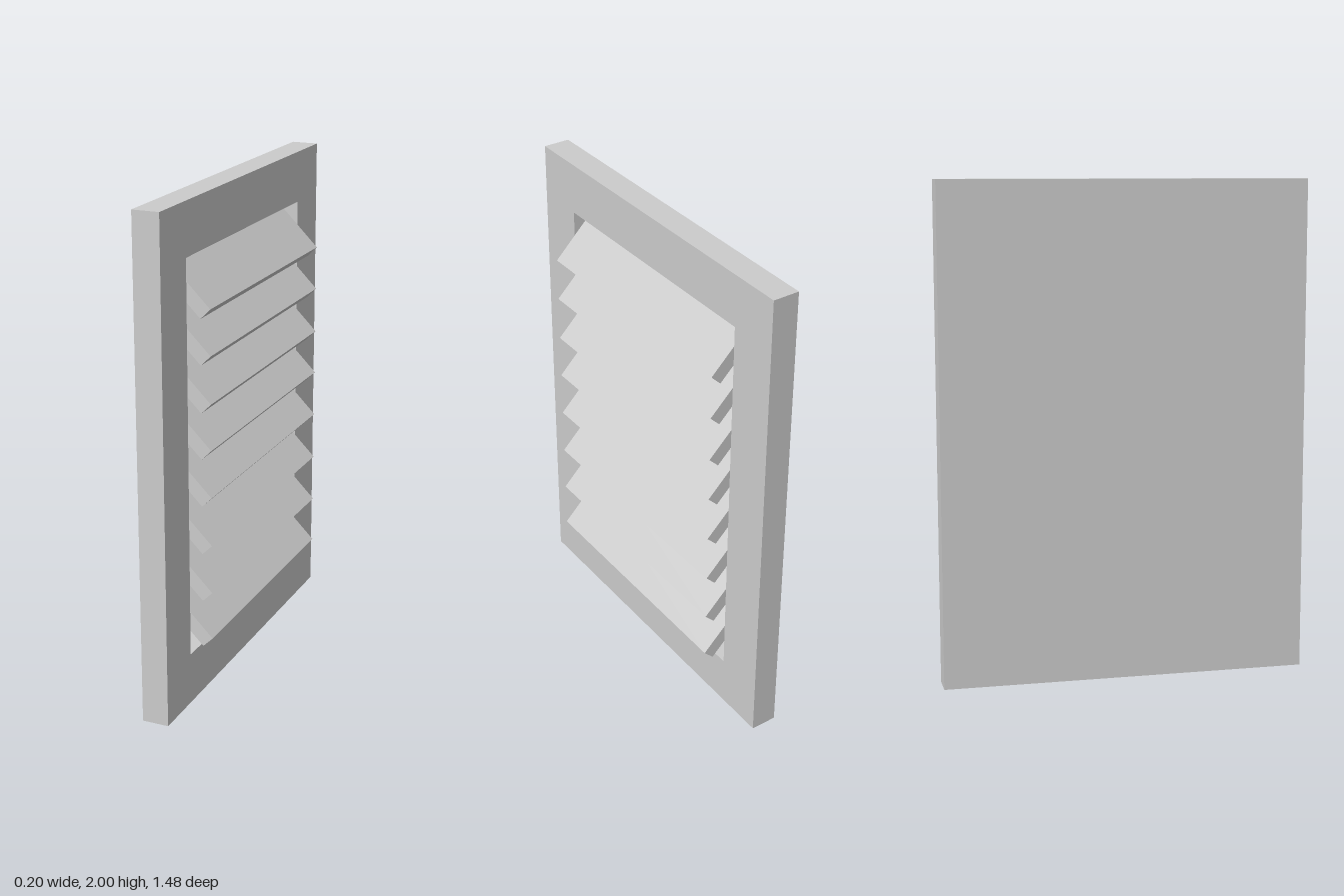
import * as THREE from 'three';

const BACK = -0.1, FLOOR = -0.085, FACE = 0.008; // x of rear, recess floor and frame face
const HALF_WIDTH = 0.74, HEIGHT = 2;

// Shapes are drawn as (-z, y) and extruded towards +x
function extrudeAlongX(shape, x0, x1) {
  const geometry = new THREE.ExtrudeGeometry(shape, { depth: x1 - x0, bevelEnabled: false });
  return geometry.rotateY(Math.PI / 2).translate(x0, 0, 0);
}

function rectangle(Type, u0, u1, y0, y1) {
  return new Type([[u0, y0], [u1, y0], [u1, y1], [u0, y1]].map(([u, y]) => new THREE.Vector2(u, y)));
}

export function createModel() {
  const group = new THREE.Group();
  const material = new THREE.MeshStandardMaterial({ color: 0xcccccc });
  const add = (name, geometry) => {
    const mesh = new THREE.Mesh(geometry, material);
    mesh.name = name;
    group.add(mesh);
    return mesh;
  };

  // Solid rear panel
  add('backPanel', extrudeAlongX(rectangle(THREE.Shape, -HALF_WIDTH, HALF_WIDTH, 0, HEIGHT), BACK, FLOOR));

  // Surrounding frame with the recessed opening
  const outline = rectangle(THREE.Shape, -HALF_WIDTH, HALF_WIDTH, 0, HEIGHT);
  outline.holes.push(rectangle(THREE.Path, -0.534, 0.531, 0.208, 1.793));
  add('frame', extrudeAlongX(outline, FLOOR, FACE));

  // Louvre slats, tilted 45 degrees down and outwards
  const slatGeometry = new THREE.BoxGeometry(0.155 * Math.SQRT2, 0.04 * Math.SQRT2, 1.049);
  slatGeometry.rotateZ(-Math.PI / 4);
  const tipHeights = [1.61, 1.433, 1.248, 1.066, 0.877, 0.682, 0.486, 0.293];
  tipHeights.forEach((tip, i) => {
    add(`slat${i + 1}`, slatGeometry).position.set(0.0015, tip + 0.0575, 0.0015);
  });

  return group;
}
